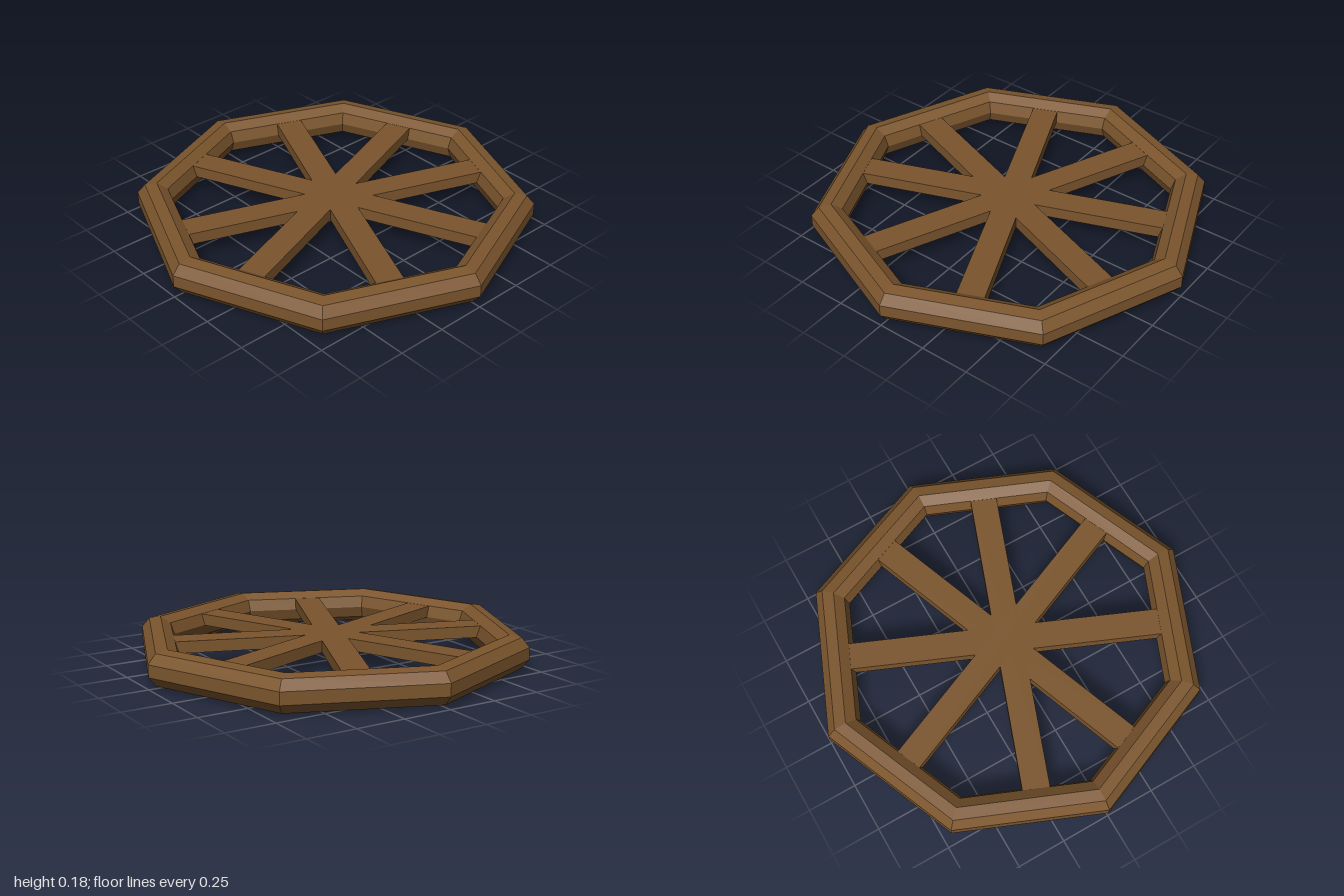
import * as THREE from 'three';

const wood = new THREE.MeshStandardMaterial({ color: 0x7b552d, flatShading: true });

// Eight-sided ring with a nine-sided cross-section
function makeRim() {
  const centre = 0.914, radius = 0.0914, sides = 9;
  const profile = [];
  for (let i = 0; i <= sides; i++) {
    const a = -Math.PI + (i / sides) * Math.PI * 2;
    profile.push(new THREE.Vector2(centre + radius * Math.cos(a), 0.09 + radius * Math.sin(a)));
  }
  const rim = new THREE.Mesh(new THREE.LatheGeometry(profile, 8), wood);
  rim.name = 'rim';
  return rim;
}

// Flat bar running from rim to rim
function makeBar(degrees, z) {
  const bar = new THREE.Mesh(new THREE.BoxGeometry(1.68, 0.06, 0.135), wood);
  bar.name = 'spokeBar';
  bar.rotation.y = THREE.MathUtils.degToRad(degrees);
  bar.position.set(0, 0.118, z);
  return bar;
}

export function createModel() {
  const wheel = new THREE.Group();
  wheel.name = 'wheel';
  wheel.add(makeRim());

  // Two mirrored pairs of crossing bars; the steep pair crosses slightly forward
  const spokes = new THREE.Group();
  spokes.name = 'spokes';
  for (const side of [1, -1]) {
    spokes.add(makeBar(side * 23.1, 0));
    spokes.add(makeBar(side * 69.7, 0.05));
  }
  wheel.add(spokes);
  return wheel;
}
